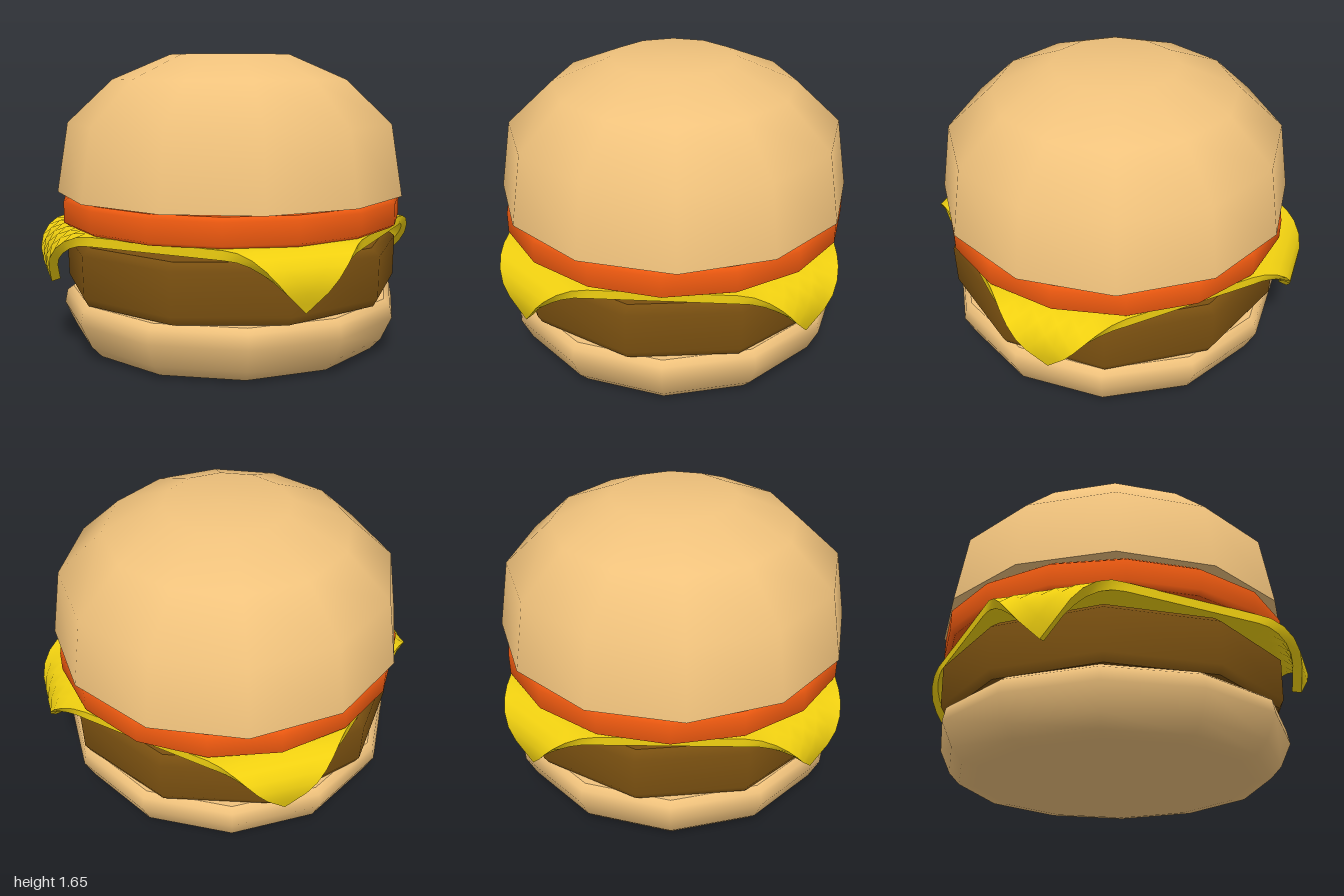
import * as THREE from 'three';

const BUN = 0xf0c27c, PATTY = 0x7a5010, CHEESE = 0xf0d010, TOMATO = 0xf05a10;

function addPart(group, name, geometry, color) {
  const mesh = new THREE.Mesh(geometry, new THREE.MeshStandardMaterial({ color }));
  mesh.name = name;
  group.add(mesh);
}

// Round layer from a [radius, height] profile listed bottom to top; repeated points make a crease.
function roundLayer(profile, sides, turn) {
  const points = profile.map(([r, y]) => new THREE.Vector2(r, y));
  return new THREE.LatheGeometry(points, sides, turn);
}

// Square slice whose four corners curl down over the patty.
function cheeseSlice() {
  const half = 0.91, thick = 0.05, midY = 0.687;
  const foldAt = 0.925, bend = 0.14, maxAngle = 1.83;
  const geometry = new THREE.BoxGeometry(half * 2, thick, half * 2, 24, 1, 24);
  const pos = geometry.attributes.position;
  for (let i = 0; i < pos.count; i++) {
    const x = pos.getX(i), z = pos.getZ(i), offset = pos.getY(i);
    const diagonal = (Math.abs(x) + Math.abs(z)) / Math.SQRT2;
    const s = Math.max(0, diagonal - foldAt);
    const a = Math.min(s / bend, maxAngle);
    const rest = s - a * bend;
    const out = bend * Math.sin(a) + rest * Math.cos(a) + offset * Math.sin(a);
    const down = bend * (1 - Math.cos(a)) + rest * Math.sin(a) - offset * Math.cos(a);
    const shift = (out - s) / Math.SQRT2;
    pos.setXYZ(i, x + Math.sign(x) * shift, midY - down, z + Math.sign(z) * shift);
  }
  geometry.computeVertexNormals();
  return geometry;
}

export function createModel() {
  const burger = new THREE.Group();
  burger.name = 'burger';

  addPart(burger, 'bottomBun', roundLayer([
    [0, 0], [0.77, 0], [0.86, 0.015], [0.92, 0.08], [0.98, 0.21],
    [0.965, 0.285], [0.93, 0.31], [0.93, 0.31], [0, 0.31],
  ], 12, 0), BUN);

  addPart(burger, 'patty', roundLayer([
    [0, 0.315], [0.94, 0.315], [0.94, 0.315], [0.965, 0.36],
    [0.97, 0.59], [0.92, 0.63], [0.92, 0.63], [0, 0.63],
  ], 10, 0.12), PATTY);

  addPart(burger, 'cheese', cheeseSlice(), CHEESE);

  addPart(burger, 'tomato', roundLayer([
    [0, 0.71], [0.95, 0.71], [0.95, 0.71], [0.98, 0.73],
    [0.98, 0.845], [0.95, 0.867], [0.95, 0.867], [0, 0.867],
  ], 16, 0), TOMATO);

  addPart(burger, 'topBun', roundLayer([
    [0, 0.877], [1, 0.877], [1, 0.877], [0.935, 1.27],
    [0.68, 1.51], [0.35, 1.65], [0, 1.65],
  ], 12, 0.08), BUN);

  return burger;
}
